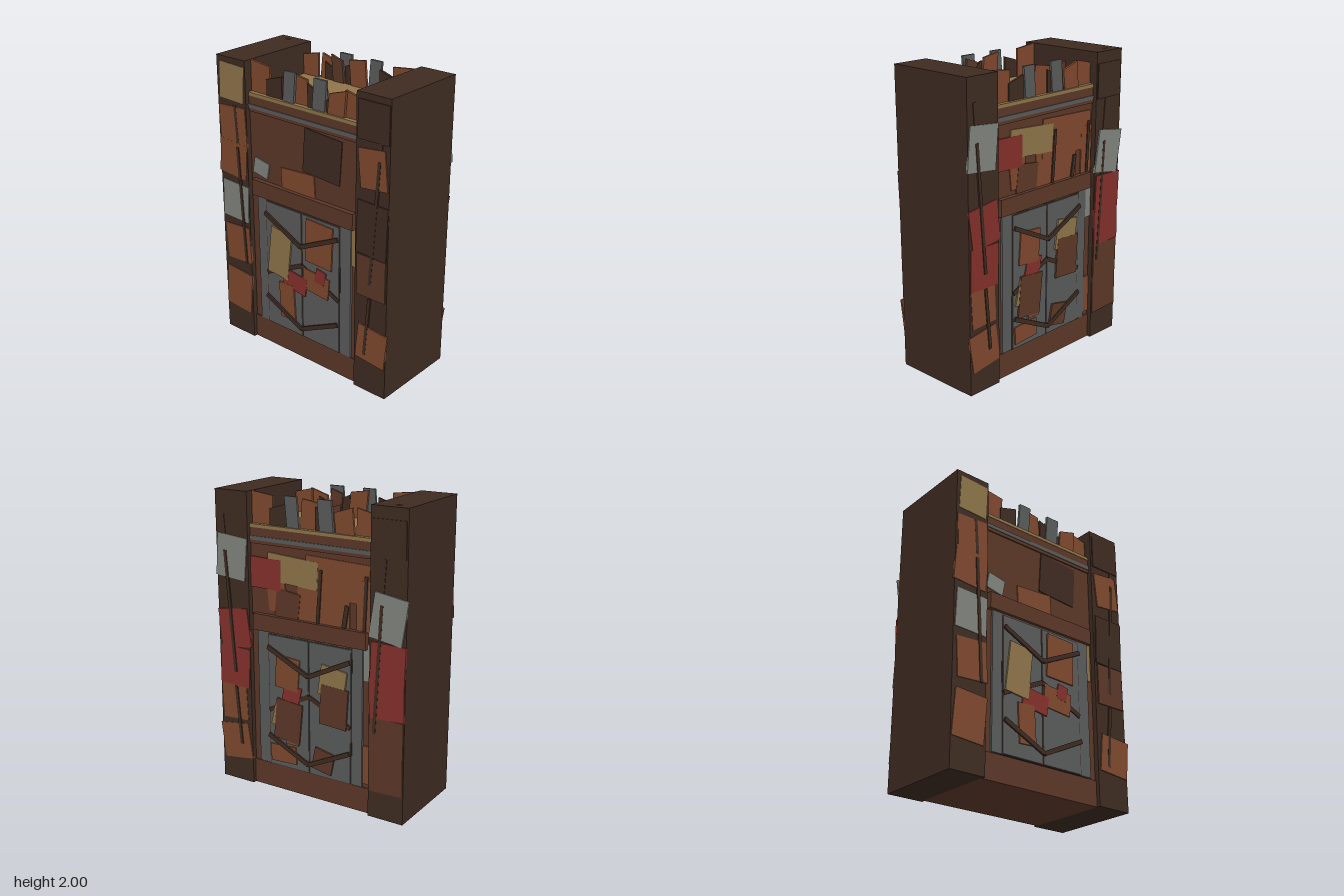
import * as THREE from 'three';

const C = {
  dark: 0x3e2b22, brown: 0x5c3828, rust: 0x80492f, tan: 0x8f754a,
  red: 0x86302b, iron: 0x5a5c5b, zinc: 0x82857e,
};
const mats = {};
const mat = (c) => (mats[c] ??= new THREE.MeshStandardMaterial({ color: C[c], flatShading: true }));

function box(parent, name, color, w, h, d, x, y, z, rot = 0) {
  const m = new THREE.Mesh(new THREE.BoxGeometry(w, h, d), mat(color));
  m.name = name;
  m.position.set(x, y, z);
  m.rotation.x = rot;
  parent.add(m);
  return m;
}

// scrap sheets on a side wall: [colour, z, y, width, height, tilt], each a hair above the last
function sheets(parent, s, name, x, list) {
  list.forEach(([c, z, y, w, h, r = 0], i) =>
    box(parent, name, c, 0.014, h, w, s * (x + i * 0.0006), y, z, r));
}

// thin bar running between two (z, y) points
function bar(parent, s, name, x, z1, y1, z2, y2, w = 0.03) {
  const len = Math.hypot(z2 - z1, y2 - y1);
  box(parent, name, 'dark', 0.012, len, w, s * x, (y1 + y2) / 2, (z1 + z2) / 2, Math.atan2(z2 - z1, y2 - y1));
}

// upright plank with a slanted top: z range, heights at both ends
function plank(parent, s, c, x, z1, z2, y1, y2, lean = 0) {
  const b = 1.74, shape = new THREE.Shape();
  shape.moveTo(-z1, b);
  shape.lineTo(-z2, b);
  shape.lineTo(-z2 - lean, y2);
  shape.lineTo(-z1 - lean, y1);
  const g = new THREE.ExtrudeGeometry(shape, { depth: 0.016, bevelEnabled: false });
  g.translate(0, 0, -0.008);
  g.rotateY(Math.PI / 2);
  const m = new THREE.Mesh(g, mat(c));
  m.name = 'parapetPlank';
  m.position.x = s * x;
  parent.add(m);
}

const postSheets = {
  1: [
    ['rust', 0.585, 0.57, 0.2, 0.25, 0.05], ['rust', 0.58, 0.285, 0.23, 0.25, 0.14],
    ['red', 0.575, 0.82, 0.23, 0.27, -0.03], ['red', 0.57, 1.085, 0.235, 0.26, 0.13],
    ['zinc', 0.58, 1.56, 0.23, 0.28, -0.09], ['dark', -0.575, 1.8, 0.23, 0.23, 0],
    ['brown', -0.575, 0.32, 0.24, 0.27, 0.03], ['brown', -0.575, 0.56, 0.24, 0.24, 0],
    ['red', -0.575, 0.81, 0.245, 0.26, 0.03], ['red', -0.58, 1.04, 0.24, 0.25, -0.03],
    ['zinc', -0.58, 1.32, 0.23, 0.29, -0.15],
  ],
  [-1]: [
    ['tan', -0.57, 1.83, 0.21, 0.24, 0.04], ['rust', -0.57, 1.54, 0.23, 0.26, -0.05],
    ['rust', -0.58, 1.31, 0.24, 0.24, 0.08], ['zinc', -0.57, 1.01, 0.23, 0.26, 0.04],
    ['rust', -0.56, 0.7, 0.22, 0.26, -0.06], ['rust', -0.57, 0.34, 0.23, 0.3, 0.08],
    ['dark', 0.58, 1.83, 0.23, 0.24, 0], ['rust', 0.58, 1.54, 0.2, 0.25, -0.1],
    ['dark', 0.58, 1.15, 0.23, 0.35, 0.03], ['brown', 0.58, 0.83, 0.22, 0.28, 0],
    ['rust', 0.59, 0.35, 0.23, 0.25, 0.1],
  ],
};
const wallSheets = {
  1: [
    ['rust', -0.1, 1.31, 0.38, 0.24, 0], ['rust', 0.25, 1.34, 0.14, 0.2, 0.1],
    ['rust', -0.2, 1.5, 0.46, 0.25, -0.03], ['rust', -0.39, 1.36, 0.1, 0.32, 0],
    ['brown', 0.17, 1.28, 0.18, 0.2, -0.12], ['tan', 0.13, 1.515, 0.38, 0.18, -0.06],
    ['red', 0.335, 1.475, 0.235, 0.2, -0.02], ['zinc', -0.42, 1.01, 0.05, 0.24, 0],
    ['rust', -0.42, 0.33, 0.05, 0.26, 0],
  ],
  [-1]: [
    ['dark', 0.16, 1.5, 0.3, 0.29, 0.07], ['rust', -0.04, 1.25, 0.28, 0.2, -0.06],
    ['zinc', -0.36, 1.29, 0.13, 0.11, 0.2], ['tan', 0.41, 0.97, 0.05, 0.26, 0],
  ],
};
const doorSheets = {
  1: [
    ['red', 0.14, 0.67, 0.13, 0.2, -0.25], ['rust', 0.165, 0.84, 0.18, 0.22, -0.08],
    ['tan', 0.2, 0.54, 0.15, 0.18, -0.25], ['rust', 0.2, 0.27, 0.2, 0.12, 0.05],
    ['rust', 0.13, 0.4, 0.1, 0.1, 0], ['brown', 0.16, 0.51, 0.2, 0.28, -0.1],
    ['tan', -0.18, 0.84, 0.19, 0.2, -0.15], ['brown', -0.19, 0.68, 0.2, 0.27, -0.06],
    ['brown', -0.11, 0.29, 0.15, 0.15, -0.2],
  ],
  [-1]: [
    ['rust', 0.12, 0.62, 0.22, 0.15, 0.1], ['red', -0.06, 0.57, 0.2, 0.13, 0.15],
    ['red', 0.16, 0.68, 0.08, 0.1, 0.2], ['rust', -0.13, 0.4, 0.13, 0.26, -0.05],
    ['rust', 0.15, 0.91, 0.22, 0.3, 0.04], ['tan', -0.19, 0.74, 0.18, 0.34, 0.12],
  ],
};
const planks = [
  ['rust', 0.46, 0.29, 1.99, 1.97], ['dark', 0.31, 0.18, 1.89, 1.93], ['iron', 0.17, 0.08, 1.98, 1.98],
  ['rust', 0.09, -0.04, 1.97, 1.95], ['dark', -0.03, -0.1, 1.93, 1.9], ['iron', -0.07, -0.17, 1.98, 1.98],
  ['brown', -0.1, -0.19, 1.93, 1.96], ['dark', -0.18, -0.27, 1.86, 1.9], ['rust', -0.19, -0.32, 1.91, 1.95],
  ['rust', -0.32, -0.45, 1.95, 1.92],
];

export function createModel() {
  const root = new THREE.Group();
  root.name = 'scrapGate';

  // core wall, roof deck and end pillars
  box(root, 'wallCore', 'brown', 0.55, 1.76, 0.92, 0, 0.88, 0);
  box(root, 'roofDeck', 'tan', 0.568, 0.022, 0.9, 0, 1.774, 0);
  for (const e of [1, -1]) box(root, 'pillar', 'dark', 0.62, 1.99, 0.25, 0, 0.995, e * 0.575);
  box(root, 'pillarStub', 'rust', 0.014, 0.04, 0.035, 0.25, 1.975, -0.6);

  for (const s of [1, -1]) {
    const side = new THREE.Group();
    side.name = s > 0 ? 'leftSide' : 'rightSide';
    root.add(side);

    // cornice bands and base
    box(side, 'corniceBoard', 'brown', 0.02, 0.055, 0.9, s * 0.272, 1.735, 0);
    box(side, 'corniceRail', 'iron', 0.025, 0.026, 0.9, s * 0.276, 1.696, 0);
    box(side, 'corniceLip', 'brown', 0.02, 0.023, 0.9, s * 0.274, 1.672, 0);
    box(side, 'threshold', 'brown', 0.02, 0.17, 0.9, s * 0.274, 0.085, 0);

    // double door with frame and lintel
    box(side, 'doorFrame', 'iron', 0.03, 0.92, 0.79, s * 0.275, 0.635, 0.005);
    box(side, 'doorGap', 'dark', 0.024, 0.915, 0.635, s * 0.279, 0.63, 0);
    for (const e of [1, -1]) {
      box(side, 'doorLeaf', 'iron', 0.024, 0.9, 0.303, s * 0.284, 0.628, e * 0.158);
      bar(side, s, 'doorBrace', 0.311, e * 0.31, 1.0, 0, 0.85);
      bar(side, s, 'doorBrace', 0.297, e * 0.31, 0.56, 0, 0.71);
      bar(side, s, 'doorBrace', 0.311, e * 0.31, 0.39, 0, 0.24);
    }
    box(side, 'lintel', 'brown', 0.045, 0.11, 0.845, s * 0.285, 1.152, 0.002);

    // scrap sheets
    sheets(side, s, 'pillarSheet', 0.306, postSheets[s]);
    sheets(side, s, 'wallSheet', 0.274, wallSheets[s]);
    sheets(side, s, 'doorSheet', 0.297, doorSheets[s]);

    // loose battens on pillars and upper wall
    bar(side, s, 'pillarBatten', 0.314, 0.63, 1.6, 0.57, 0.78, 0.022);
    bar(side, s, 'pillarBatten', 0.314, 0.57, 0.68, 0.535, 0.27, 0.022);
    bar(side, s, 'pillarBatten', 0.308, 0.645, 1.84, 0.62, 1.5, 0.022);
    bar(side, s, 'pillarBatten', 0.314, -0.535, 1.4, -0.49, 0.57, 0.022);
    bar(side, s, 'pillarBatten', 0.308, -0.55, 1.68, -0.53, 1.4, 0.022);
    if (s > 0) {
      bar(side, s, 'wallBatten', 0.283, -0.085, 1.55, -0.06, 1.2, 0.022);
      bar(side, s, 'wallBatten', 0.283, -0.41, 1.55, -0.395, 1.2, 0.022);
      bar(side, s, 'wallBatten', 0.283, -0.275, 1.35, -0.25, 1.2, 0.03);
    }

    // ragged parapet of planks
    planks.forEach(([c, z1, z2, y1, y2], i) =>
      plank(side, s, c, 0.245 + (i % 3) * 0.009, s > 0 ? z1 : -z2, s > 0 ? z2 : -z1,
        s > 0 ? y1 : y2, s > 0 ? y2 : y1, i === 0 || i === 9 ? 0 : ((i % 3) - 1) * 0.02));
  }
  return root;
}
